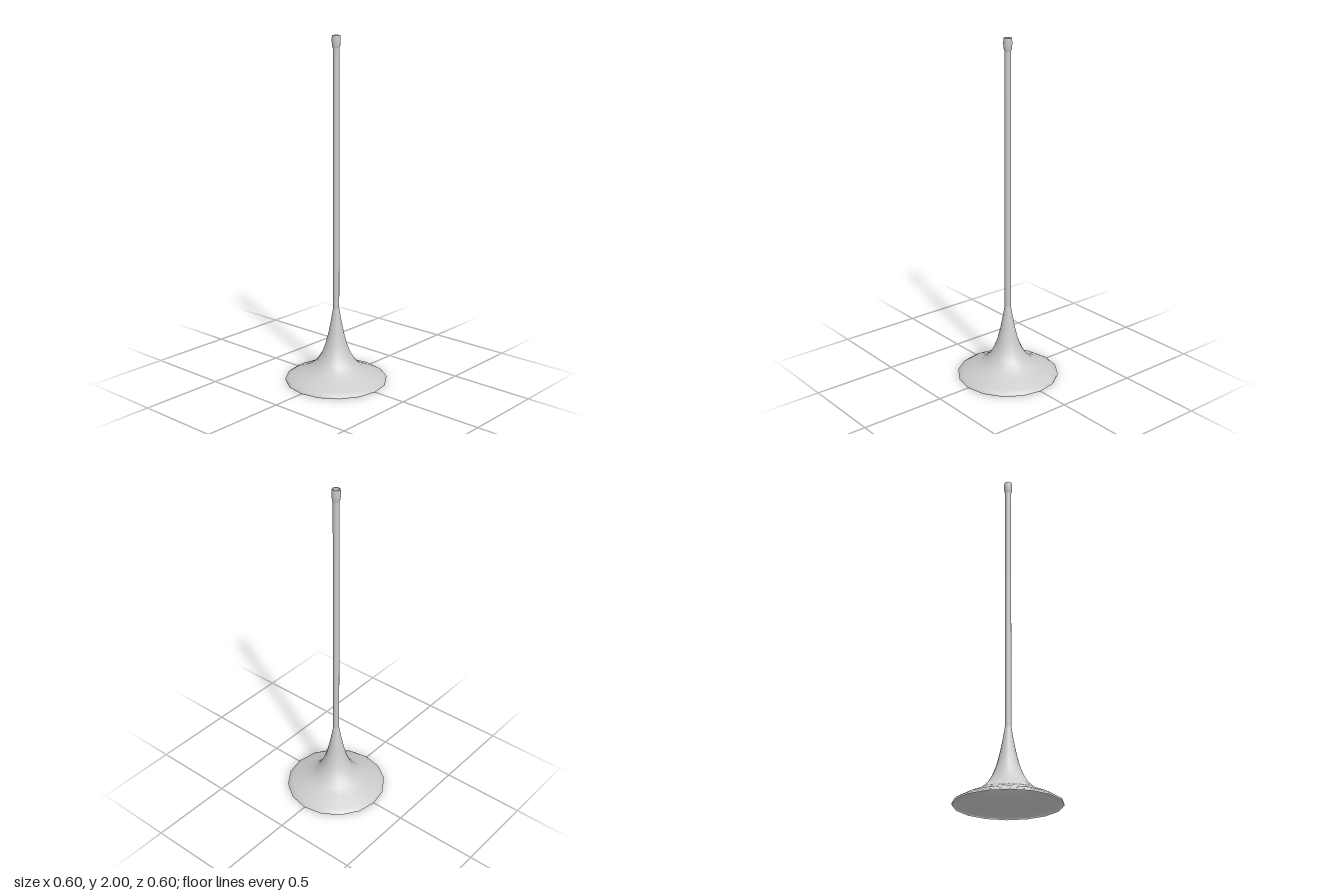
import * as THREE from 'three';

const SIDES = 16;

export function createModel() {
  const model = new THREE.Group();
  const material = new THREE.MeshStandardMaterial({ color: 0xcccccc, side: THREE.DoubleSide });

  // Thin turned part from [radius, height] pairs, bottom to top
  function turned(name, profile) {
    const points = profile.map(([r, y]) => new THREE.Vector2(r, y));
    const mesh = new THREE.Mesh(new THREE.LatheGeometry(points, SIDES), material);
    mesh.name = name;
    model.add(mesh);
  }

  // Flared bell, open at the bottom
  turned('bell', [
    [0.297, 0], [0.298, 0.01], [0.27, 0.027], [0.2, 0.058], [0.15, 0.083],
    [0.112, 0.12], [0.085, 0.165], [0.063, 0.22], [0.045, 0.29],
    [0.031, 0.36], [0.018, 0.435],
  ]);

  // Long hollow tube
  turned('tube', [[0.018, 0.435], [0.018, 1.94]]);

  // Mouthpiece cup with a rounded outside
  turned('mouthpiece', [[0.018, 1.93], [0.022, 1.94], [0.025, 1.97], [0.023, 2]]);

  // Lip and bore of the mouthpiece
  turned('mouthpieceLip', [[0.023, 2], [0.017, 2]]);
  turned('mouthpieceBore', [[0.017, 2], [0.016, 1.97], [0.018, 1.93]]);

  return model;
}
